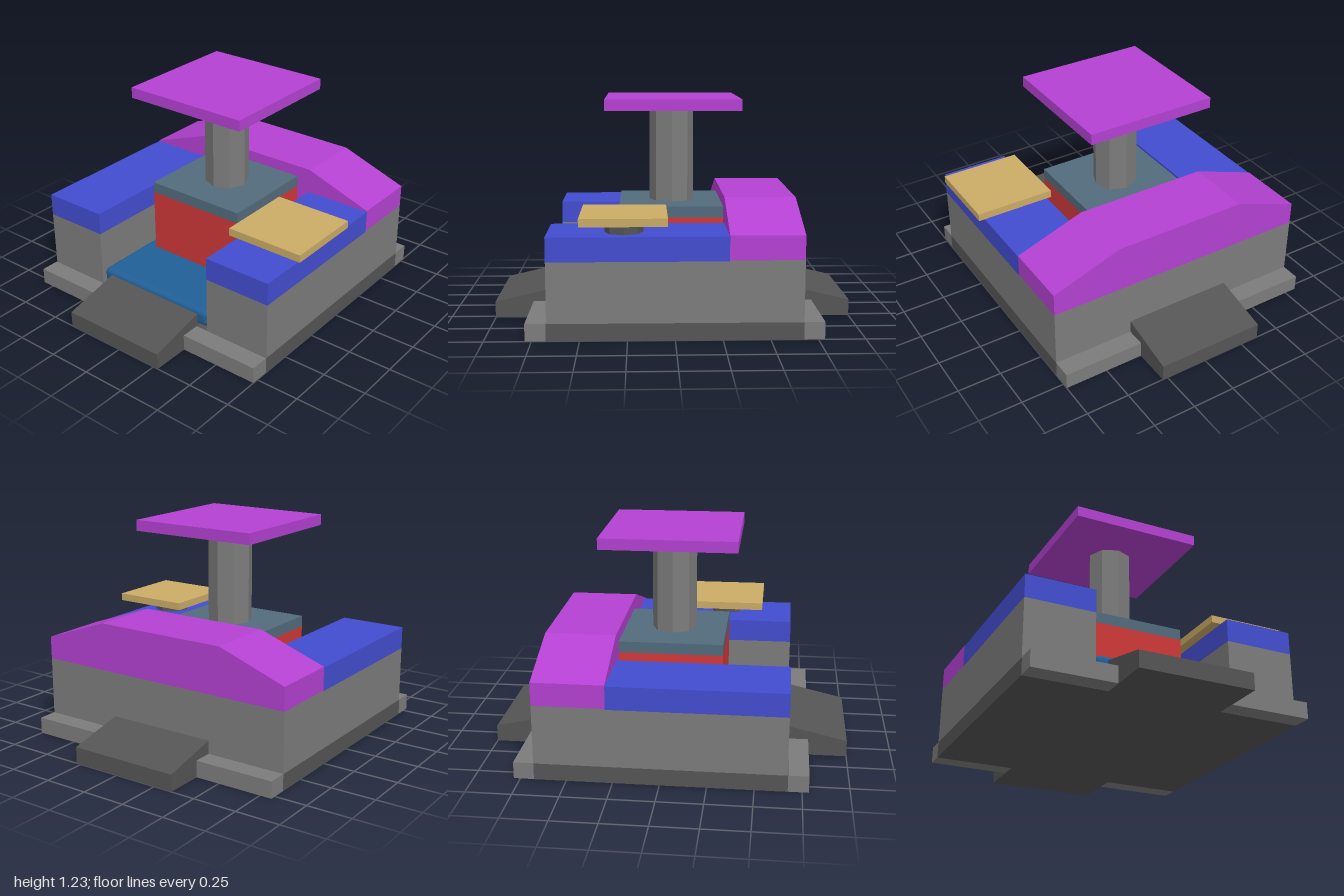
import * as THREE from 'three';
import { RoundedBoxGeometry } from 'three/addons/geometries/RoundedBoxGeometry.js';

export function createModel() {
  const model = new THREE.Group();
  const mat = (name, color) => new THREE.MeshStandardMaterial({ name, color, flatShading: true });
  const grey = mat('grey', 0x7c7c7c);
  const dark = mat('dark grey', 0x555555);
  const purple = mat('purple', 0xb441d2);
  const blue = mat('blue', 0x434dd0);
  const red = mat('red', 0xcf3838);
  const slate = mat('slate', 0x526b7c);
  const navy = mat('deep blue', 0x216098);
  const tan = mat('tan', 0xcbab66);

  const add = (name, geometry, material) => {
    const mesh = new THREE.Mesh(geometry, material);
    mesh.name = name;
    model.add(mesh);
    return mesh;
  };
  // Box given by its limits on each axis
  const box = (name, material, [x0, x1], [y0, y1], [z0, z1]) =>
    add(name, new THREE.BoxGeometry(x1 - x0, y1 - y0, z1 - z0), material)
      .position.set((x0 + x1) / 2, (y0 + y1) / 2, (z0 + z1) / 2);
  const post = (name, material, radius, x, z, y0, y1) =>
    add(name, new THREE.CylinderGeometry(radius, radius, y1 - y0, 8), material)
      .position.set(x, (y0 + y1) / 2, z);
  const extrude = (points, depth) => new THREE.ExtrudeGeometry(
    new THREE.Shape(points.map(([x, y]) => new THREE.Vector2(x, y))), { depth, bevelEnabled: false });

  const full = [-0.82, 0.75];

  // Base: dark floor slab with grey sills at both ends
  box('floorSlab', dark, full, [0, 0.093], [-0.675, 0.675]);
  box('frontSill', grey, full, [0.001, 0.094], [0.675, 0.785]);
  box('backSill', grey, full, [0.001, 0.094], [-0.785, -0.675]);

  // Sloping ramps at the front and back
  for (const side of [1, -1]) {
    const ramp = add(side > 0 ? 'frontRamp' : 'backRamp',
      extrude([[0.6, 0], [1, 0], [1, 0.093], [0.67, 0.17], [0.6, 0.17]], 0.64), dark);
    ramp.rotation.y = -side * Math.PI / 2;
    ramp.position.x = side > 0 ? 0.28 : -0.36;
  }

  // Body: back block and two arms with pads
  box('backBlock', grey, full, [0.093, 0.425], [-0.675, -0.282]);
  for (const [side, xs] of [['right', [-0.82, -0.43]], ['left', [0.35, 0.75]]]) {
    box(side + 'Arm', grey, xs, [0.093, 0.42], [-0.282, 0.672]);
    box(side + 'ArmPad', blue, xs, [0.42, 0.55], [-0.282, 0.672]);
  }

  // Bevelled back hood
  add('backHood', extrude([[-0.82, 0.425], [0.75, 0.425], [0.75, 0.555],
    [0.355, 0.695], [-0.43, 0.695], [-0.82, 0.555]], 0.393), purple).position.z = -0.675;

  // Rounded floor cushion between the arms
  add('floorCushion', new RoundedBoxGeometry(0.77, 0.097, 0.95, 3, 0.03), navy)
    .position.set(-0.037, 0.149, 0.192);

  // Central pedestal, column and canopy
  box('pedestal', red, [-0.345, 0.27], [0.15, 0.567], [-0.3, 0.3]);
  box('pedestalCap', slate, [-0.345, 0.27], [0.567, 0.63], [-0.3, 0.3]);
  post('column', grey, 0.127, -0.037, 0, 0.63, 1.168);
  box('canopy', purple, [-0.413, 0.34], [1.168, 1.23], [-0.378, 0.376]);

  // Side table on the left arm
  post('tablePost', dark, 0.103, 0.593, 0.268, 0.55, 0.615);
  box('tableTop', tan, [0.365, 0.82], [0.615, 0.658], [0.04, 0.495]);

  return model;
}
